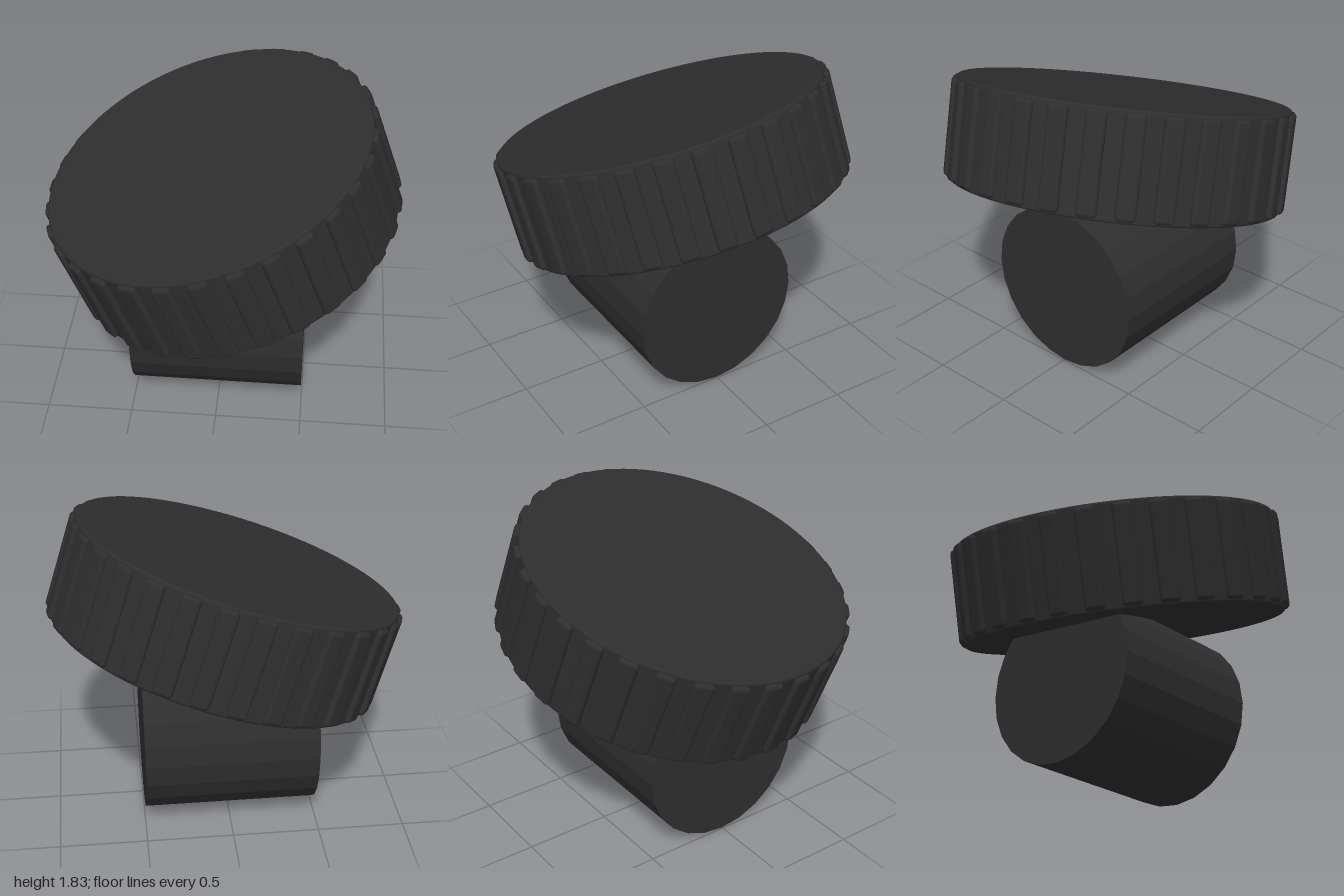
import * as THREE from 'three';
import { RoundedBoxGeometry } from 'three/addons/geometries/RoundedBoxGeometry.js';

export function createModel() {
  const model = new THREE.Group();
  model.name = 'knob';

  const charcoal = new THREE.MeshStandardMaterial({ color: 0x2e2e2e });
  charcoal.name = 'charcoal';

  // Faceted stem lying along x
  const STEM_R = 0.497;
  const stemGeometry = new THREE.CylinderGeometry(STEM_R, STEM_R, 0.99, 24).toNonIndexed();
  stemGeometry.computeVertexNormals();
  stemGeometry.rotateZ(Math.PI / 2);
  const stem = new THREE.Mesh(stemGeometry, charcoal);
  stem.name = 'stem';
  stem.position.y = STEM_R;
  model.add(stem);

  // Tilted dial: local y follows the dial axis, local x stays in the xy plane
  const dial = new THREE.Group();
  dial.name = 'dial';
  const axis = new THREE.Vector3(-0.311, 0.942, 0.122).normalize();
  const across = new THREE.Vector3(axis.y, -axis.x, 0).normalize();
  const forward = new THREE.Vector3().crossVectors(across, axis);
  dial.quaternion.setFromRotationMatrix(new THREE.Matrix4().makeBasis(across, axis, forward));
  dial.position.y = 1.25;
  model.add(dial);

  // Disc with a small rounded rim, flat caps and smooth side
  const R = 0.945, H = 0.29, B = 0.015;
  const profile = [new THREE.Vector2(R - B, -H)];
  for (const [cy, start] of [[-H + B, -Math.PI / 2], [H - B, 0]]) {
    for (let i = 0; i <= 4; i++) {
      const t = start + (i / 4) * Math.PI / 2;
      profile.push(new THREE.Vector2(R - B + B * Math.cos(t), cy + B * Math.sin(t)));
    }
  }
  profile.shift();
  const rim = new THREE.Mesh(new THREE.LatheGeometry(profile, 96), charcoal);
  rim.name = 'dialRim';
  dial.add(rim);
  for (const side of [1, -1]) {
    const cap = new THREE.Mesh(new THREE.CircleGeometry(R - B, 96), charcoal);
    cap.name = side > 0 ? 'dialTop' : 'dialBottom';
    cap.rotation.x = -side * Math.PI / 2;
    cap.position.y = side * H;
    dial.add(cap);
  }

  // Rounded grip ribs around the rim
  const RIBS = 30;
  const ribGeometry = new RoundedBoxGeometry(0.08, 0.55, 0.11, 3, 0.022);
  for (let i = 0; i < RIBS; i++) {
    const a = ((i + 0.5) / RIBS) * Math.PI * 2;
    const rib = new THREE.Mesh(ribGeometry, charcoal);
    rib.name = 'gripRib';
    rib.position.set(0.931 * Math.cos(a), 0, 0.931 * Math.sin(a));
    rib.rotation.y = -a;
    dial.add(rib);
  }

  return model;
}
